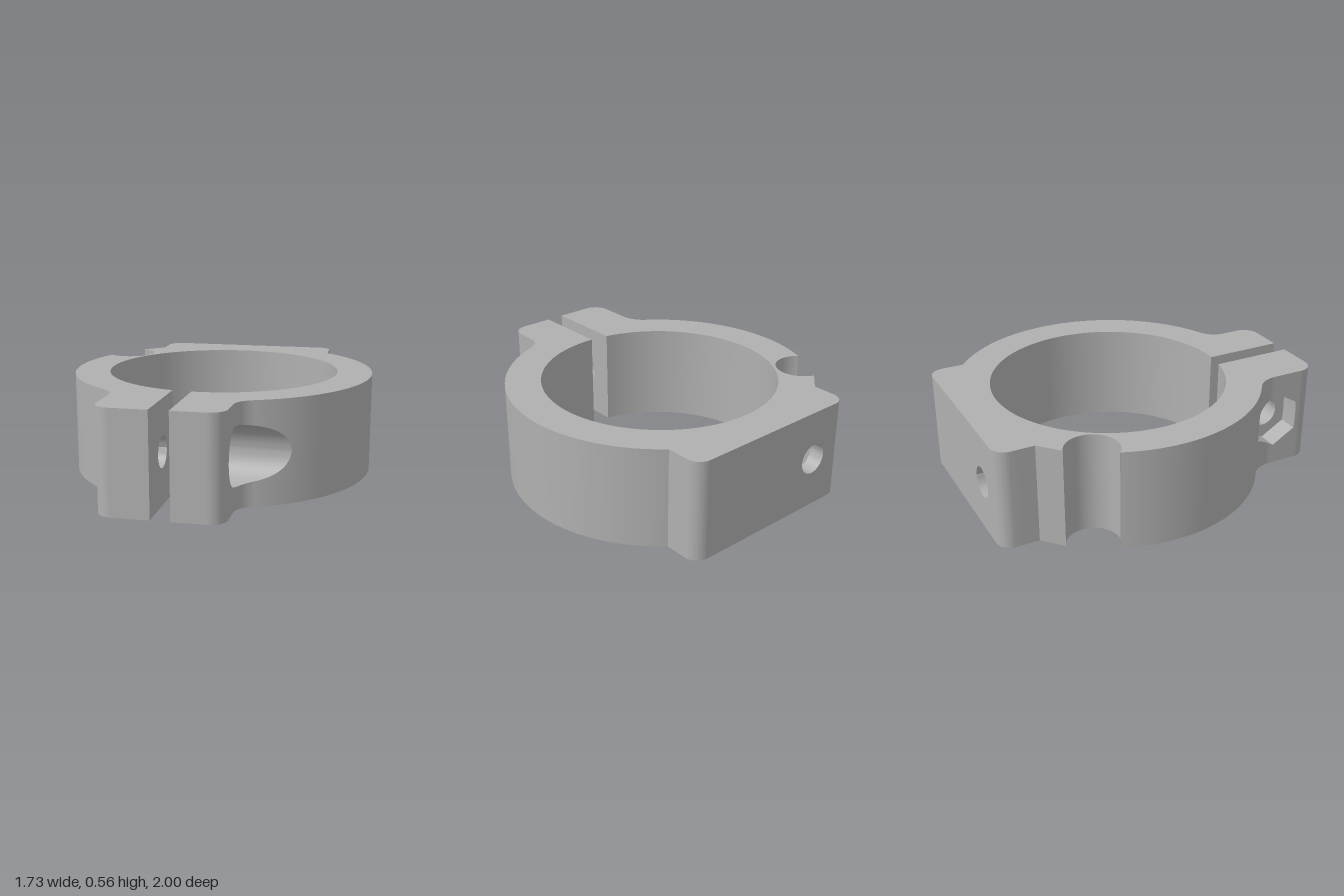
import * as THREE from 'three';
import { toCreasedNormals } from 'three/addons/utils/BufferGeometryUtils.js';

const H = 0.565, CY = 0.285;          // clamp height, height of all screw axes
const ZC = -0.117, RI = 0.665, RO = 0.865; // ring centre and radii
const BOLT = 0.085, HEAD = 0.16, NUT = 0.167;
const HEAD_FLOOR = 0.16, NUT_FLOOR = -0.32;
const SLOT = { x: 0.31, w: 0.14, z0: -0.915, z1: -0.795, top: 0.45 };

// Half height of an opening at distance d from its axis
const round = r => d => Math.sqrt(Math.max(0, r * r - d * d));
const hex = d => {
  const a = NUT * Math.cos(Math.PI / 6);
  return Math.abs(d) < a ? NUT * (1 - Math.abs(d) / (2 * a)) : 0;
};

// Openings in the side wall; each runs inwards along its axis to "floor"
const openings = [
  { axis: 'x', at: 0.745, half: round(HEAD), floor: HEAD_FLOOR, on: (x, z) => x > 0.12 && z > 0.5 },
  { axis: 'x', at: 0.745, half: hex, floor: NUT_FLOOR, on: (x, z) => x < -0.3 && z > 0.5 },
  { axis: 'x', at: 0.745, half: round(BOLT), floor: HEAD_FLOOR, on: (x, z) => Math.abs(x + 0.035) < 0.002 && z > 0.56 },
  { axis: 'x', at: 0.745, half: round(BOLT), floor: NUT_FLOOR, on: (x, z) => Math.abs(x + 0.14) < 0.002 && z > 0.56 },
  ...[1, -1].map(s => ({ axis: 'z', at: s * SLOT.x, half: round(BOLT), floor: SLOT.z0,
    on: (x, z) => z < -0.998 && x * s > 0 })),
];

// Plan outline in (x, z)
function outline() {
  const ang = (x, z) => Math.atan2(z - ZC, x);
  const p = new THREE.Path();
  p.moveTo(-0.035, 0.547);
  p.lineTo(-0.035, 1);
  p.lineTo(0.15, 1);
  p.absarc(0.15, 0.91, 0.09, Math.PI / 2, 0, true);
  p.lineTo(0.24, 0.8);
  p.quadraticCurveTo(0.24, 0.725, 0.32, 0.686);
  p.absarc(0, ZC, RO, ang(0.32, 0.686), ang(0.54, -0.793), true);
  p.lineTo(0.54, -0.92);
  p.absarc(0.46, -0.92, 0.08, 0, -Math.PI / 2, true);
  p.lineTo(-0.465, -1);
  p.absarc(-0.465, -0.92, 0.08, -Math.PI / 2, -Math.PI, true);
  p.lineTo(-0.545, -0.79);
  p.lineTo(-0.655, -0.69);
  p.absarc(-0.7, -0.553, 0.144, Math.atan2(-0.137, 0.045), Math.atan2(0.105, -0.1), false);
  p.absarc(0, ZC, RO, ang(-0.8, -0.446), ang(-0.5, 0.589), true);
  p.quadraticCurveTo(-0.435, 0.64, -0.435, 0.73);
  p.lineTo(-0.435, 0.91);
  p.absarc(-0.345, 0.91, 0.09, Math.PI, Math.PI / 2, true);
  p.lineTo(-0.14, 1);
  p.lineTo(-0.14, 0.533);
  p.absarc(0, ZC, RI, ang(-0.14, 0.533), ang(-0.035, 0.547), false);
  const pts = p.getPoints(90).filter((v, i, a) => i === 0 || v.distanceTo(a[i - 1]) > 1e-4);
  if (pts[0].distanceTo(pts[pts.length - 1]) < 0.003) pts.pop();
  return pts;
}

function geometryFrom(pos) {
  const g = new THREE.BufferGeometry();
  g.setAttribute('position', new THREE.Float32BufferAttribute(pos, 3));
  return toCreasedNormals(g, 0.5);
}
const quad = (out, a, b, c, d) => out.push(...a, ...b, ...c, ...a, ...c, ...d);

// Side wall split above and below the openings, plus the walls of the bores
function buildWalls(pts) {
  const wall = [], bore = [];
  pts.forEach((a, i) => {
    const b = pts[(i + 1) % pts.length];
    const mid = a.clone().lerp(b, 0.5);
    const o = openings.find(q => q.on(mid.x, mid.y));
    const n = Math.ceil(a.distanceTo(b) / (o ? 0.004 : 0.05));
    const half = v => (o ? o.half((o.axis === 'x' ? v.y : v.x) - o.at) : 0);
    const inner = v => (o.axis === 'x' ? [o.floor, v.y] : [v.x, o.floor]);
    for (let k = 0; k < n; k++) {
      const p = a.clone().lerp(b, k / n), q = a.clone().lerp(b, (k + 1) / n);
      const hp = half(p), hq = half(q);
      quad(wall, [p.x, 0, p.y], [q.x, 0, q.y], [q.x, CY - hq, q.y], [p.x, CY - hp, p.y]);
      quad(wall, [p.x, CY + hp, p.y], [q.x, CY + hq, q.y], [q.x, H, q.y], [p.x, H, p.y]);
      if (hp + hq === 0) continue;
      const [px, pz] = inner(p), [qx, qz] = inner(q);
      for (const s of [1, -1]) {
        const c = [[p.x, CY + s * hp, p.y], [q.x, CY + s * hq, q.y], [qx, CY + s * hq, qz], [px, CY + s * hp, pz]];
        quad(bore, ...(s > 0 ? c.reverse() : c));
      }
    }
  });
  return [geometryFrom(wall), geometryFrom(bore)];
}

// Flat panel with a bolt hole in its middle
function holedPanel(points, cx = 0, cy = 0) {
  const shape = new THREE.Shape(points);
  shape.holes.push(new THREE.Path().absarc(cx, cy, BOLT, 0, Math.PI * 2, true));
  return new THREE.ShapeGeometry(shape, 32);
}
const polygon = (n, r) => Array.from({ length: n }, (_, i) => {
  const t = Math.PI / 2 + (i / n) * Math.PI * 2;
  return new THREE.Vector2(r * Math.cos(t), r * Math.sin(t));
});
const rect = (x0, y0, x1, y1) =>
  [[x0, y0], [x1, y0], [x1, y1], [x0, y1]].map(c => new THREE.Vector2(...c));

export function createModel() {
  const group = new THREE.Group();
  const grey = new THREE.MeshStandardMaterial({ color: 0xb0b0b0, side: THREE.DoubleSide });
  grey.name = 'grey plastic';
  const add = (name, geometry) => {
    const mesh = new THREE.Mesh(geometry, grey);
    mesh.name = name;
    group.add(mesh);
    return mesh;
  };

  const pts = outline();
  const [wall, bore] = buildWalls(pts);
  add('clampWall', wall);
  add('screwBores', bore);

  // Top and bottom faces; the bottom is open at the two nut slots
  const top = new THREE.Shape(pts.map(v => new THREE.Vector2(v.x, -v.y)));
  add('topFace', new THREE.ShapeGeometry(top).rotateX(-Math.PI / 2)).position.y = H;
  const bottom = new THREE.Shape(pts);
  for (const s of [1, -1]) {
    const c = s * SLOT.x;
    bottom.holes.push(new THREE.Path(rect(c - SLOT.w, SLOT.z0, c + SLOT.w, SLOT.z1)));
  }
  add('bottomFace', new THREE.ShapeGeometry(bottom).rotateX(Math.PI / 2));

  // Seats of the clamping screw head and its nut
  add('screwHeadSeat', holedPanel(polygon(64, HEAD)).rotateY(Math.PI / 2)).position.set(HEAD_FLOOR, CY, 0.745);
  add('hexNutSeat', holedPanel(polygon(6, NUT)).rotateY(-Math.PI / 2)).position.set(NUT_FLOOR, CY, 0.745);

  // Nut slots in the mounting block
  for (const s of [1, -1]) {
    const { w, z0, z1, top: t } = SLOT, x0 = s * SLOT.x - w, x1 = s * SLOT.x + w;
    const pos = [];
    quad(pos, [x0, 0, z0], [x0, t, z0], [x0, t, z1], [x0, 0, z1]);
    quad(pos, [x1, 0, z1], [x1, t, z1], [x1, t, z0], [x1, 0, z0]);
    quad(pos, [x0, 0, z1], [x0, t, z1], [x1, t, z1], [x1, 0, z1]);
    quad(pos, [x0, t, z0], [x1, t, z0], [x1, t, z1], [x0, t, z1]);
    add('nutSlotWalls', geometryFrom(pos));
    add('nutSlotPanel', holedPanel(rect(x0, 0, x1, t), s * SLOT.x, CY)).position.z = z0;
  }
  return group;
}
